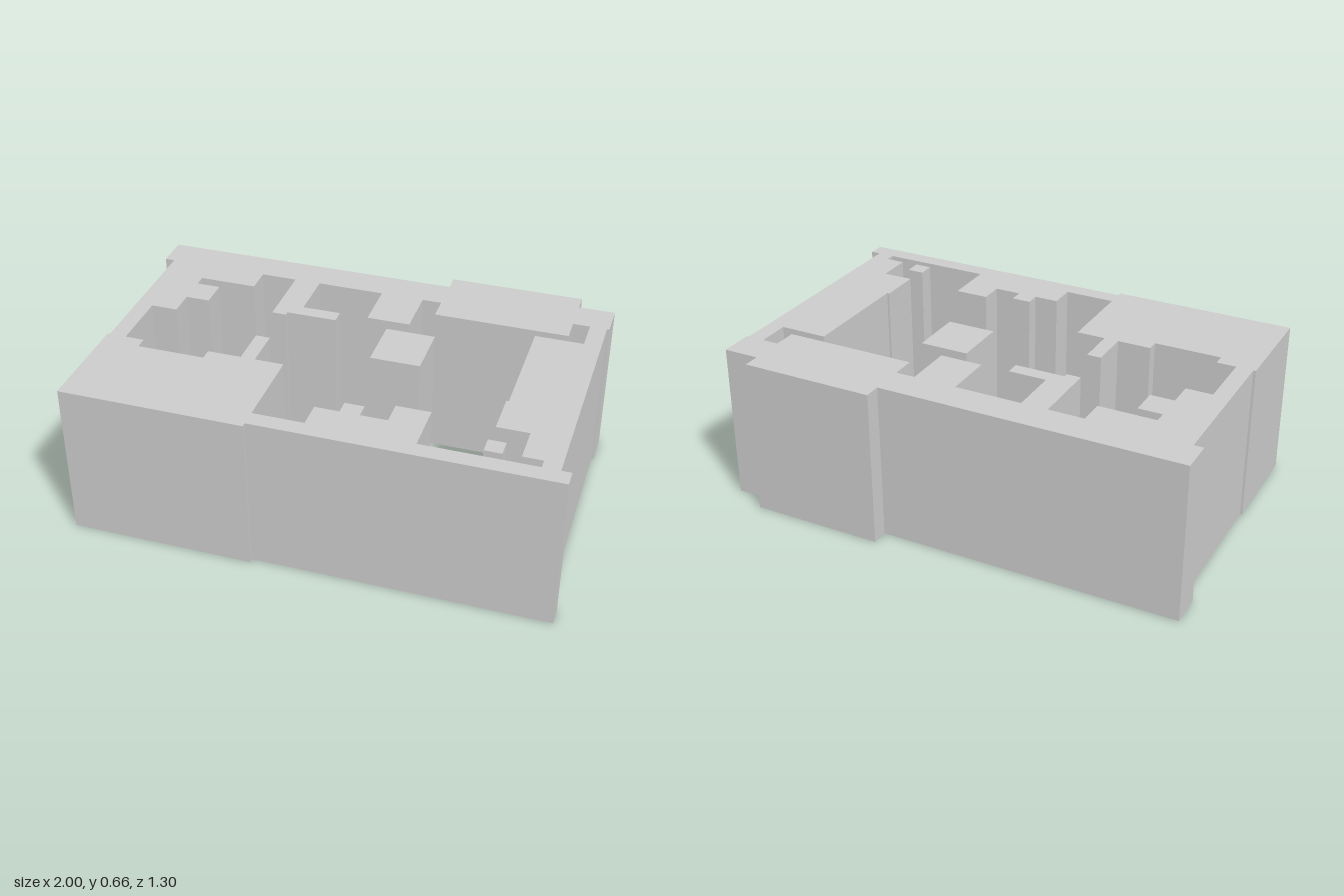
import * as THREE from 'three';

const HEIGHT = 0.66;
const material = new THREE.MeshStandardMaterial({ color: 0xcccccc, flatShading: true });

// Closed right-angled outline: each [x, z] step runs along x first, then along z.
function steppedOutline(steps) {
  let z = steps[steps.length - 1][1];
  const points = [];
  for (const [x, nextZ] of steps) {
    points.push(new THREE.Vector2(x, z), new THREE.Vector2(x, nextZ));
    z = nextZ;
  }
  return points;
}

// Raises a floor plan (x, z) from the ground to the full height.
function raise(name, outline, hole) {
  const shape = new THREE.Shape(outline);
  if (hole) shape.holes.push(new THREE.Path(hole));
  const geometry = new THREE.ExtrudeGeometry(shape, { depth: HEIGHT, bevelEnabled: false });
  geometry.rotateX(Math.PI / 2).translate(0, HEIGHT, 0);
  const mesh = new THREE.Mesh(geometry, material);
  mesh.name = name;
  return mesh;
}

function pillar(name, x0, x1, z0, z1) {
  const mesh = new THREE.Mesh(new THREE.BoxGeometry(x1 - x0, HEIGHT, z1 - z0), material);
  mesh.position.set((x0 + x1) / 2, HEIGHT / 2, (z0 + z1) / 2);
  mesh.name = name;
  return mesh;
}

export function createModel() {
  const group = new THREE.Group();
  group.name = 'floorPlanBlock';

  // Outside faces of the block, clockwise from the back
  const outside = steppedOutline([
    [0.26, -0.65], [0.82, -0.58], [0.97, -0.44], [0.96, 0.56], [1, 0.63],
    [-0.21, 0.65], [-0.97, 0.21], [-0.96, -0.44], [-1, -0.58],
  ]);

  // Open interior with its alcoves and wall stubs
  const interior = steppedOutline([
    // right-hand side
    [-0.54, -0.33], [-0.78, -0.28], [-0.68, -0.16], [-0.78, -0.05], [-0.89, 0.21],
    // front
    [-0.81, 0.26], [-0.53, 0.21], [-0.39, 0.04], [-0.33, 0.21], [-0.21, 0.56],
    [0, 0.45], [0.1, 0.39], [0.18, 0.45], [0.29, 0.35], [0.43, 0.56],
    // left-hand side
    [0.89, 0.52], [0.81, 0.37], [0.68, 0.19], [0.69, -0.3], [0.89, -0.44],
    // back
    [0.82, -0.34], [0.26, -0.44], [0.18, -0.23], [0, -0.44],
    [-0.28, -0.23], [-0.12, -0.17], [-0.33, -0.15], [-0.39, -0.44],
  ]);

  group.add(raise('walls', outside, interior));

  // Free-standing pillars
  group.add(pillar('centrePillar', 0.1, 0.305, -0.17, 0.06));
  group.add(pillar('smallPillar', 0.67, 0.74, 0.455, 0.525));

  return group;
}
